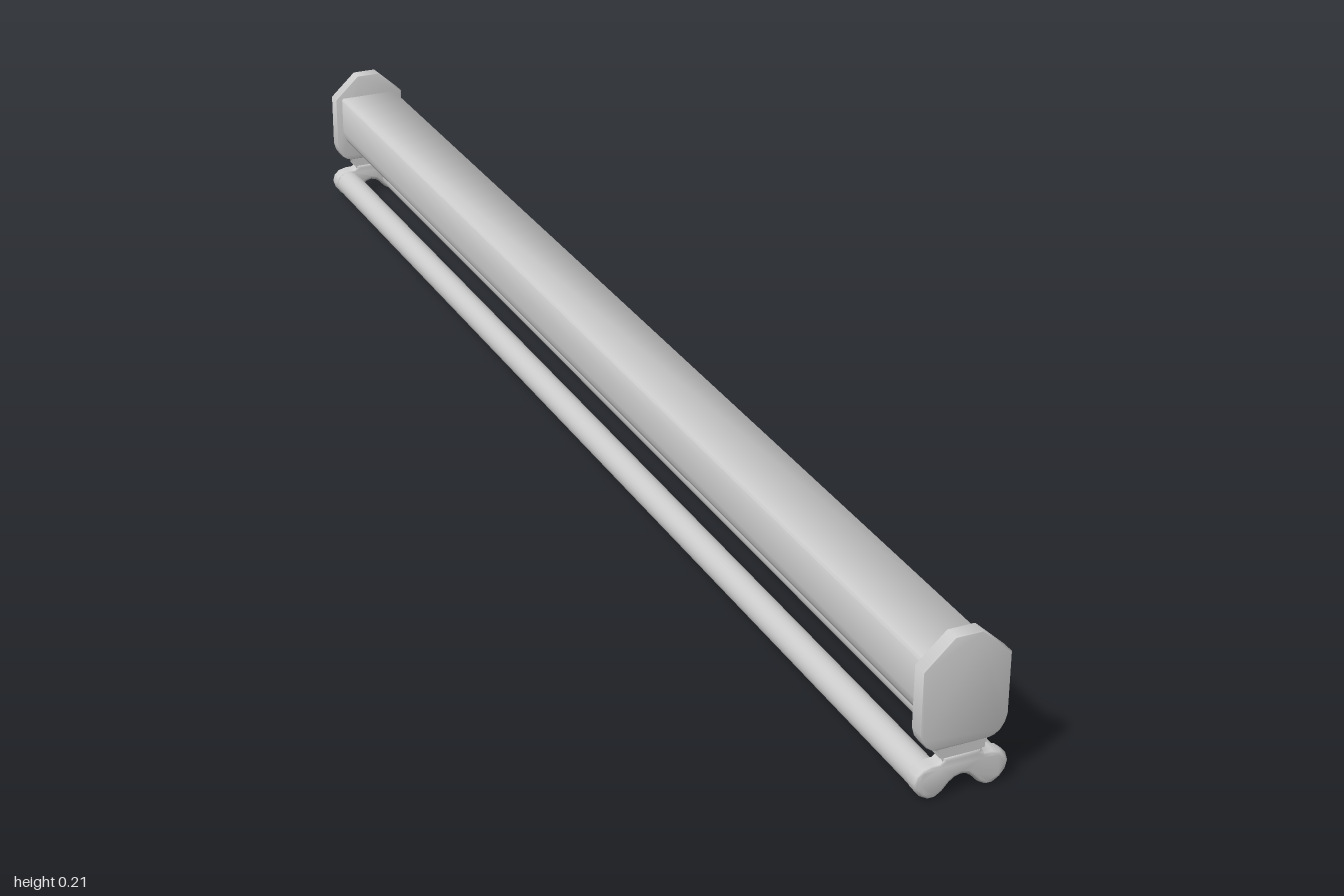
import * as THREE from 'three';
import { toCreasedNormals } from 'three/addons/utils/BufferGeometryUtils.js';

const material = new THREE.MeshStandardMaterial({ color: 0xcccccc });

// Closed outline mirrored about x = 0 from its right half, listed bottom to top
function mirroredShape(half) {
  const left = half.filter(([x]) => x > 0).reverse().map(([x, y]) => [-x, y]);
  return new THREE.Shape([...half, ...left].map(([x, y]) => new THREE.Vector2(x, y)));
}

// Prism along z, centred on z = 0, with an optional rounded rim inside the outline
function prism(name, half, depth, bevel = 0) {
  const geometry = new THREE.ExtrudeGeometry(mirroredShape(half), {
    depth: depth - 2 * bevel,
    bevelEnabled: bevel > 0,
    bevelSize: bevel,
    bevelThickness: bevel,
    bevelOffset: -bevel,
    bevelSegments: 4,
  });
  geometry.translate(0, 0, -depth / 2 + bevel);
  const mesh = new THREE.Mesh(toCreasedNormals(geometry, 1.2), material);
  mesh.name = name;
  return mesh;
}

function createEnd(name) {
  const end = new THREE.Group();
  end.name = name;

  // Plate with rounded lower corners and a chamfered top
  end.add(prism('endPlate', [
    [0.034, 0.066], [0.042, 0.068], [0.049, 0.073], [0.055, 0.082], [0.058, 0.093],
    [0.058, 0.176], [0.018, 0.213],
  ], 0.021, 0.002));

  // Stepped neck under the plate
  end.add(prism('neck', [
    [0.026, 0.045], [0.026, 0.054], [0.030, 0.054], [0.030, 0.060],
    [0.032, 0.061], [0.032, 0.068],
  ], 0.018));

  // Bone-shaped holder for the two tubes
  end.add(prism('tubeHolder', [
    [0, 0.024], [0.008, 0.022], [0.015, 0.017], [0.024, 0.007], [0.034, 0.001],
    [0.043, 0.001], [0.053, 0.007], [0.060, 0.016], [0.063, 0.027], [0.060, 0.037],
    [0.052, 0.044], [0.040, 0.047], [0.030, 0.047], [0.026, 0.050], [0.026, 0.054],
  ], 0.022, 0.006));
  return end;
}

export function createModel() {
  const model = new THREE.Group();
  model.name = 'twinTubeLamp';

  // Long housing with a rounded underside
  model.add(prism('housing', [
    [0.022, 0.092], [0.032, 0.094], [0.040, 0.100], [0.045, 0.109], [0.047, 0.120],
    [0.047, 0.174], [0.045, 0.177],
  ], 1.97));

  // Parallel light tubes
  for (const side of [-1, 1]) {
    const tube = new THREE.Mesh(new THREE.CylinderGeometry(0.02, 0.02, 1.97, 24), material);
    tube.name = side > 0 ? 'leftTube' : 'rightTube';
    tube.rotation.x = Math.PI / 2;
    tube.position.set(side * 0.04, 0.024, 0);
    model.add(tube);
  }

  // Matching ends, the back one turned around
  const front = createEnd('frontEnd');
  front.position.z = 0.989;
  const back = createEnd('backEnd');
  back.position.z = -0.989;
  back.rotation.y = Math.PI;
  model.add(front, back);
  return model;
}
